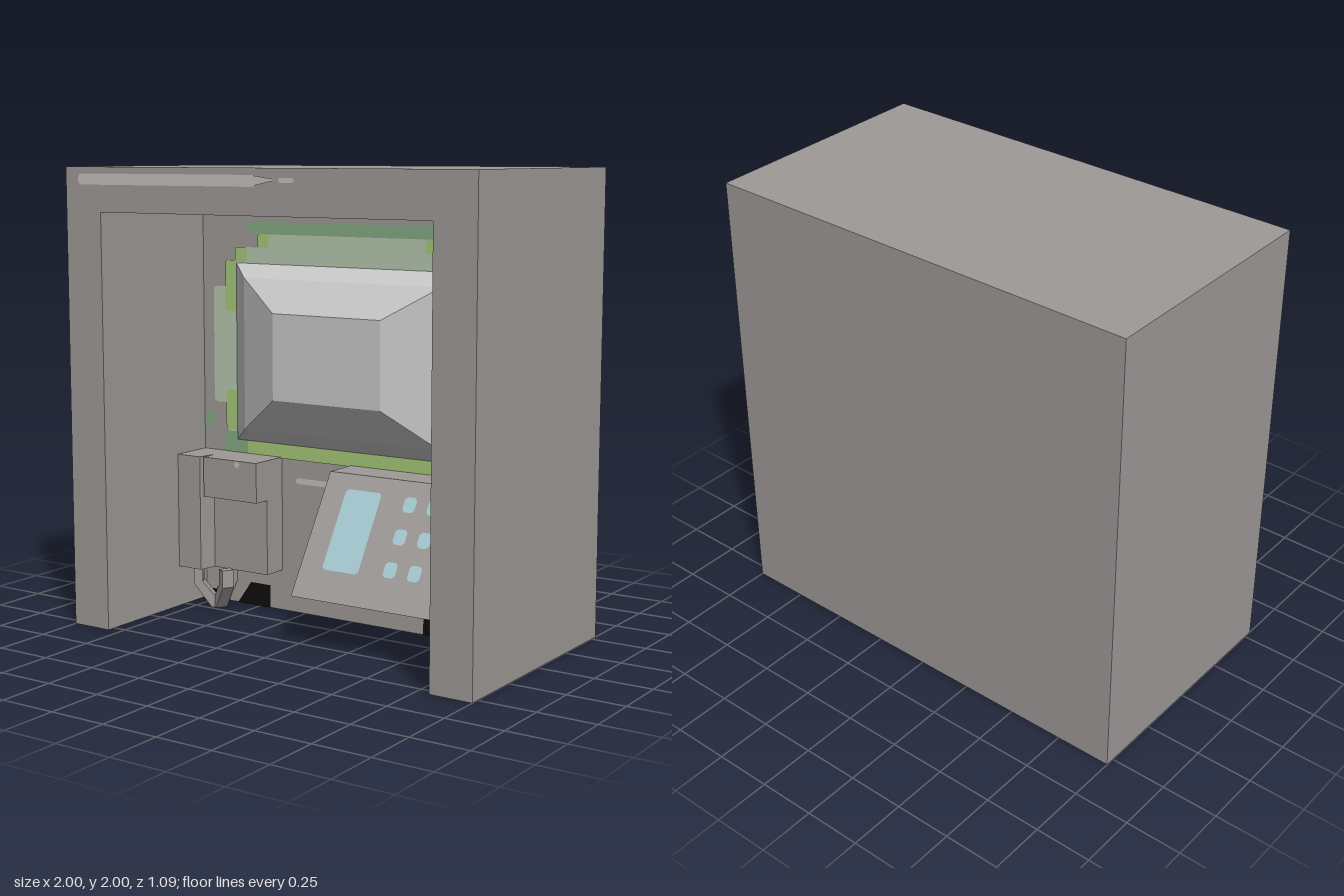
import * as THREE from 'three';

const mat = (name, color, side = THREE.FrontSide) => {
  const m = new THREE.MeshStandardMaterial({ color, side });
  m.name = name;
  return m;
};

const WALL = -0.157;   // alcove back wall
const FRONT = 0.54;    // cabinet front

export function createModel() {
  const model = new THREE.Group();
  model.name = 'kiosk';
  const grey = mat('warm grey', 0x9e9a98);
  const glass = mat('screen grey', 0xc8c8c8);
  const light = mat('light trim', 0xc4c2c1);
  const pale = mat('pale green', 0xb5c8ae);
  const lime = mat('lime green', 0xa6c979);
  const green = mat('mid green', 0x84ab82);
  const blue = mat('light blue', 0xa6cad2);
  const black = mat('black', 0x0d0d0d);

  const add = (name, geometry, material, parent = model) => {
    const mesh = new THREE.Mesh(geometry, material);
    mesh.name = name;
    parent.add(mesh);
    return mesh;
  };
  const box = (name, x0, x1, y0, y1, z0, z1) => {
    const g = new THREE.BoxGeometry(x1 - x0, y1 - y0, z1 - z0);
    g.translate((x0 + x1) / 2, (y0 + y1) / 2, (z0 + z1) / 2);
    return add(name, g, grey);
  };
  const polygon = (pts) => new THREE.Shape(pts.map(([x, y]) => new THREE.Vector2(x, y)));
  const extrude = (pts, depth) =>
    new THREE.ExtrudeGeometry(polygon(pts), { depth, bevelEnabled: false });

  // Flat painted patch with clipped corners
  const patch = (name, material, [x0, x1, y0, y1], z, parent = model, c = 0.012) => {
    const g = new THREE.ShapeGeometry(polygon([
      [x0 + c, y0], [x1 - c, y0], [x1, y0 + c], [x1, y1 - c],
      [x1 - c, y1], [x0 + c, y1], [x0, y1 - c], [x0, y0 + c]]));
    g.translate(0, 0, z);
    return add(name, g, material, parent);
  };

  // Cabinet: solid back and a surround open at front and bottom
  box('cabinetBack', -1, 1, 0, 2, -FRONT, WALL);
  const surround = extrude([[-1, 0], [-0.81, 0], [-0.81, 1.81], [0.81, 1.81],
    [0.81, 0], [1, 0], [1, 2], [-1, 2]], FRONT - WALL);
  surround.translate(0, 0, WALL);
  add('cabinetSurround', surround, grey);

  // Raised screen: rings shrinking towards the front, closed by a flat face
  const rings = [
    [-0.625, 0.595, 0.76, 1.57, WALL],
    [-0.52, 0.49, 0.83, 1.51, -0.075],
    [-0.29, 0.26, 0.99, 1.37, 0.03],
  ].map(([x0, x1, y0, y1, z]) => [[x0, y0, z], [x1, y0, z], [x1, y1, z], [x0, y1, z]]);
  const verts = [];
  const quad = (a, b, c, d) => verts.push(...a, ...b, ...c, ...a, ...c, ...d);
  for (let r = 0; r < 2; r++) {
    for (let i = 0; i < 4; i++) {
      const j = (i + 1) % 4;
      quad(rings[r][i], rings[r][j], rings[r + 1][j], rings[r + 1][i]);
    }
  }
  quad(...rings[2]);
  const screen = new THREE.BufferGeometry();
  screen.setAttribute('position', new THREE.Float32BufferAttribute(verts, 3));
  screen.computeVertexNormals();
  add('screen', screen, glass);

  // Painted border around the screen
  const border = new THREE.Group();
  border.name = 'screenBorder';
  model.add(border);
  [[-0.5, 0.49, 1.56, 1.7], [-0.62, 0.61, 1.54, 1.64], [-0.75, -0.62, 0.93, 1.46],
    [-0.68, -0.61, 0.8, 1.58], [0.58, 0.74, 0.93, 1.46], [0.58, 0.68, 0.82, 1.58],
  ].forEach((r) => patch('palePatch', pale, r, WALL + 0.003, border));
  [[-0.56, 0.555, 1.7, 1.755], [0.735, 0.808, 1.41, 1.52], [0.735, 0.808, 1.29, 1.35],
    [0.735, 0.808, 0.88, 0.99], [-0.808, -0.75, 0.81, 0.88], [-0.69, -0.55, 0.7, 0.8],
    [0.48, 0.68, 0.7, 0.76],
  ].forEach((r) => patch('greenPatch', green, r, WALL + 0.005, border));
  [[0.37, 0.49, 1.64, 1.7], [-0.5, -0.44, 1.64, 1.7], [-0.625, -0.56, 1.575, 1.64],
    [0.555, 0.61, 1.575, 1.64], [-0.68, -0.62, 1.35, 1.58], [-0.68, -0.62, 0.81, 0.99],
    [-0.56, 0.49, 0.7, 0.765],
    ...[[1.47, 1.58], [1.35, 1.4], [1.23, 1.29], [1.06, 1.11], [0.93, 0.99], [0.82, 0.87]]
      .map(([a, b]) => [0.612, 0.672, a, b]),
  ].forEach((r) => patch('limePatch', lime, r, WALL + 0.007, border, 0.008));

  // Light trim marks
  patch('lintelStripe', light, [-0.93, 0, 1.925, 1.972], FRONT + 0.003);
  const tail = new THREE.ShapeGeometry(polygon(
    [[-0.02, 1.927], [0.08, 1.948], [0.08, 1.958], [-0.02, 1.971]]));
  tail.translate(0, 0, FRONT + 0.005);
  add('lintelStripeTail', tail, light);
  patch('lintelDash', light, [0.11, 0.185, 1.942, 1.962], FRONT + 0.003, model, 0.008);
  patch('wallStripe', light, [-0.3, -0.03, 0.592, 0.618], WALL + 0.003);
  patch('dispenserMark', light, [-0.495, -0.465, 0.675, 0.704], 0.043);

  // Black openings low on the wall
  [[[-0.81, 0], [-0.745, 0], [-0.745, 0.045], [-0.81, 0.045]],
    [[-0.75, 0.05], [-0.73, 0.05], [-0.73, 0.07]],
    [[-0.625, 0], [-0.44, 0], [-0.44, 0.105], [-0.55, 0.105]],
    [[0.37, 0], [0.81, 0], [0.81, 0.218], [0.735, 0.218], [0.735, 0.11], [0.37, 0.11]],
  ].forEach((pts) => {
    const g = new THREE.ShapeGeometry(polygon(pts));
    g.translate(0, 0, WALL + 0.003);
    add('wallOpening', g, black);
  });

  // Sloping control console, profile in (-z, y) turned to run along x
  const top = { y: 0.705, z: 0.012 }, foot = { y: 0.22, z: 0.31 };
  const wedge = extrude([[-foot.z, foot.y], [-WALL, foot.y], [-WALL, top.y], [-top.z, top.y]], 0.81);
  wedge.rotateY(Math.PI / 2);
  add('console', wedge, grey);

  // Display and keys lying on the slope
  const controls = new THREE.Group();
  controls.name = 'consoleControls';
  controls.position.set(0, foot.y, foot.z);
  controls.rotation.x = -Math.atan2(foot.z - top.z, top.y - foot.y);
  model.add(controls);
  const stretch = Math.hypot(foot.z - top.z, top.y - foot.y) / (top.y - foot.y);
  const v = (y) => (y - foot.y) * stretch;
  patch('display', blue, [0.11, 0.287, v(0.335), v(0.645)], 0.003, controls);
  for (const x of [0.433, 0.549, 0.665]) {
    for (const y of [0.615, 0.493, 0.37]) {
      patch('key', blue, [x - 0.029, x + 0.029, v(y - 0.029), v(y + 0.029)], 0.003, controls);
    }
  }

  // Dispenser: side column with a sloped slot edge, body and overhanging head
  const column = extrude([[-0.81, -0.045], [-0.685, -0.045], [-0.67, 0.04],
    [-0.67, -WALL], [-0.81, -WALL]], 0.52);
  column.rotateX(-Math.PI / 2);
  column.translate(0, 0.185, 0);
  add('dispenserColumn', column, grey);
  box('dispenserBody', -0.67, -0.375, 0.185, 0.705, WALL, -0.04);
  box('dispenserHead', -0.668, -0.375, 0.525, 0.705, -0.04, 0.04);

  // Three claws bent in towards a common tip
  for (const angle of [60, 180, 300]) {
    const claw = extrude([[0.11, 0.19], [0.07, 0.19], [0.07, 0.12], [0.012, 0.05],
      [0.012, 0], [0.03, 0], [0.11, 0.11]].reverse(), 0.055);
    claw.translate(0, 0, -0.0275);
    claw.rotateY(THREE.MathUtils.degToRad(angle - 90));
    add('claw', claw, grey).position.set(-0.657, 0, -0.05);
  }

  return model;
}
